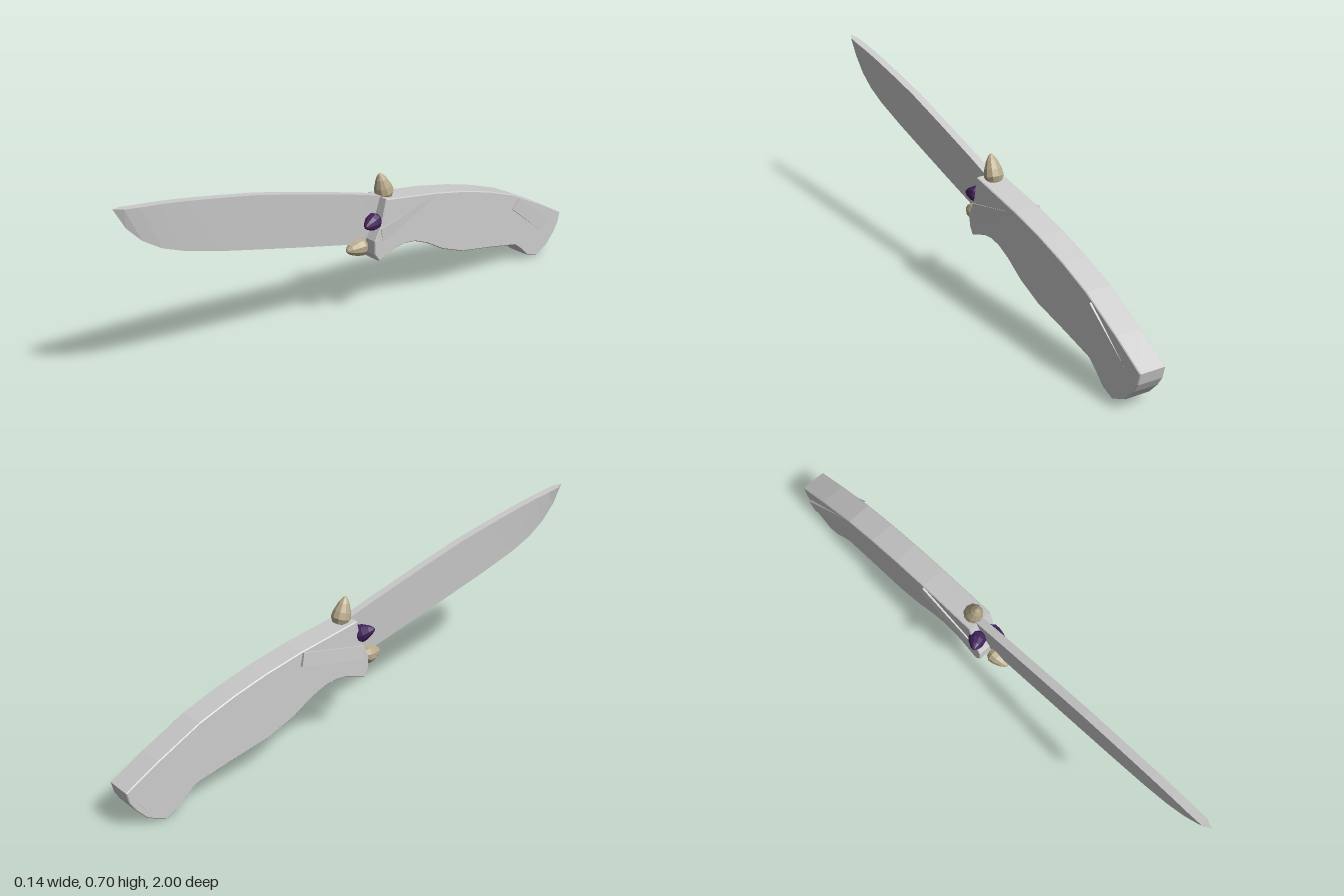
import * as THREE from 'three';

const CX = 0.01; // centre plane of the knife
const material = (color) => new THREE.MeshStandardMaterial({ color, flatShading: true });

function add(group, name, geometry, mat) {
  const mesh = new THREE.Mesh(geometry, mat);
  mesh.name = name;
  group.add(mesh);
  return mesh;
}

// Wedge blade: each row is [spine z, spine y, edge z, edge y, half thickness]
function bladeGeometry() {
  const rows = [
    [1.0, 0.702, 1.0, 0.7, 0.001],
    [0.97, 0.697, 0.96, 0.628, 0.014],
    [0.915, 0.689, 0.906, 0.572, 0.015],
    [0.845, 0.68, 0.837, 0.527, 0.015],
    [0.757, 0.666, 0.746, 0.49, 0.015],
    [0.6, 0.636, 0.596, 0.446, 0.015],
    [0.46, 0.607, 0.44, 0.405, 0.015],
    [0.25, 0.552, 0.25, 0.356, 0.015],
    [0.035, 0.493, 0.035, 0.302, 0.015],
    [-0.09, 0.455, -0.05, 0.29, 0.015],
  ];
  const pos = [], idx = [];
  for (const [sz, sy, ez, ey, h] of rows)
    pos.push(CX - h, sy, sz, CX + h, sy, sz, CX, ey, ez);
  for (let i = 0; i < rows.length - 1; i++)
    for (let k = 0; k < 3; k++) {
      const a = i * 3 + k, b = i * 3 + (k + 1) % 3;
      idx.push(a, b, b + 3, a, b + 3, a + 3);
    }
  const n = pos.length / 3;
  idx.push(0, 2, 1, n - 3, n - 2, n - 1);
  const g = new THREE.BufferGeometry();
  g.setAttribute('position', new THREE.Float32BufferAttribute(pos, 3));
  g.setIndex(idx);
  g.computeVertexNormals();
  return g;
}

// Handle outline in (z, y), extruded across x with a tiny bevel
function handleGeometry() {
  const outline = [
    [-0.057, 0.461], [-0.035, 0.37], [-0.005, 0.315], [-0.005, 0.265], [-0.025, 0.235],
    [-0.06, 0.247], [-0.105, 0.263], [-0.15, 0.267], [-0.2, 0.26], [-0.26, 0.235],
    [-0.34, 0.188], [-0.446, 0.147], [-0.607, 0.115], [-0.74, 0.085], [-0.775, 0.058],
    [-0.815, 0.02], [-0.865, 0.002], [-0.93, 0.032], [-0.97, 0.077], [-0.99, 0.11],
    [-1.0, 0.152], [-0.875, 0.222], [-0.714, 0.302], [-0.58, 0.35], [-0.446, 0.388],
    [-0.3, 0.42], [-0.18, 0.44],
  ].map(([z, y]) => new THREE.Vector2(z, y));
  const bevel = 0.003, width = 0.096;
  const g = new THREE.ExtrudeGeometry(new THREE.Shape(outline), {
    depth: width - 2 * bevel, bevelThickness: bevel, bevelSize: bevel,
    bevelOffset: -bevel, bevelSegments: 1,
  });
  g.translate(0, 0, -width / 2 + bevel);
  g.rotateY(-Math.PI / 2);
  g.translate(CX, 0, 0);
  return g;
}

// Low-poly pointed bud pointing along dir from its base
function bud(group, name, mat, base, dir, radius, length) {
  const profile = [[0, -0.18], [0.75, -0.1], [1, 0.12], [0.88, 0.4], [0.55, 0.74], [0.22, 0.94], [0, 1]]
    .map(([r, y]) => new THREE.Vector2(r * radius, y * length));
  const mesh = add(group, name, new THREE.LatheGeometry(profile, 10), mat);
  mesh.position.set(...base);
  mesh.quaternion.setFromUnitVectors(new THREE.Vector3(0, 1, 0), new THREE.Vector3(...dir).normalize());
}

// Strap laid across the handle: from and to are [z, y]; yaw and roll lift its corners
function strap(group, name, mat, from, to, width, thickness, x, yaw, roll) {
  const dz = to[0] - from[0], dy = to[1] - from[1];
  const mesh = add(group, name, new THREE.BoxGeometry(thickness, width, Math.hypot(dz, dy)), mat);
  mesh.position.set(x, (from[1] + to[1]) / 2, (from[0] + to[0]) / 2);
  mesh.rotation.set(Math.atan2(dy, -dz), yaw, roll, 'XYZ');
}

export function createModel() {
  const group = new THREE.Group();
  group.name = 'knife';
  const grey = material(0xcccccc);
  const bone = material(0xb8ab8c);
  const purple = material(0x43215c);

  add(group, 'blade', bladeGeometry(), grey);
  add(group, 'handle', handleGeometry(), grey);

  // Straps wrapped round the handle
  strap(group, 'guardStrap', grey, [-0.035, 0.334], [-0.3, 0.392], 0.05, 0.104, 0.0065, 0.01, -0.05);
  strap(group, 'pommelStrap', grey, [-0.727, 0.262], [-0.95, 0.085], 0.05, 0.104, 0.009, 0.035, 0);

  // Bone spikes on the spine and the guard
  bud(group, 'spineSpike', bone, [CX, 0.458, -0.093], [0, 1, 0.3], 0.035, 0.088);
  bud(group, 'guardSpike', bone, [CX, 0.292, 0.015], [0, -0.03, 1], 0.035, 0.072);

  // Purple buds either side of the blade
  bud(group, 'rightBud', purple, [-0.018, 0.399, -0.036], [-0.75, 0.42, 0.5], 0.032, 0.066);
  bud(group, 'leftBud', purple, [0.03, 0.382, -0.03], [0.3, -0.1, 1], 0.031, 0.066);
  return group;
}
